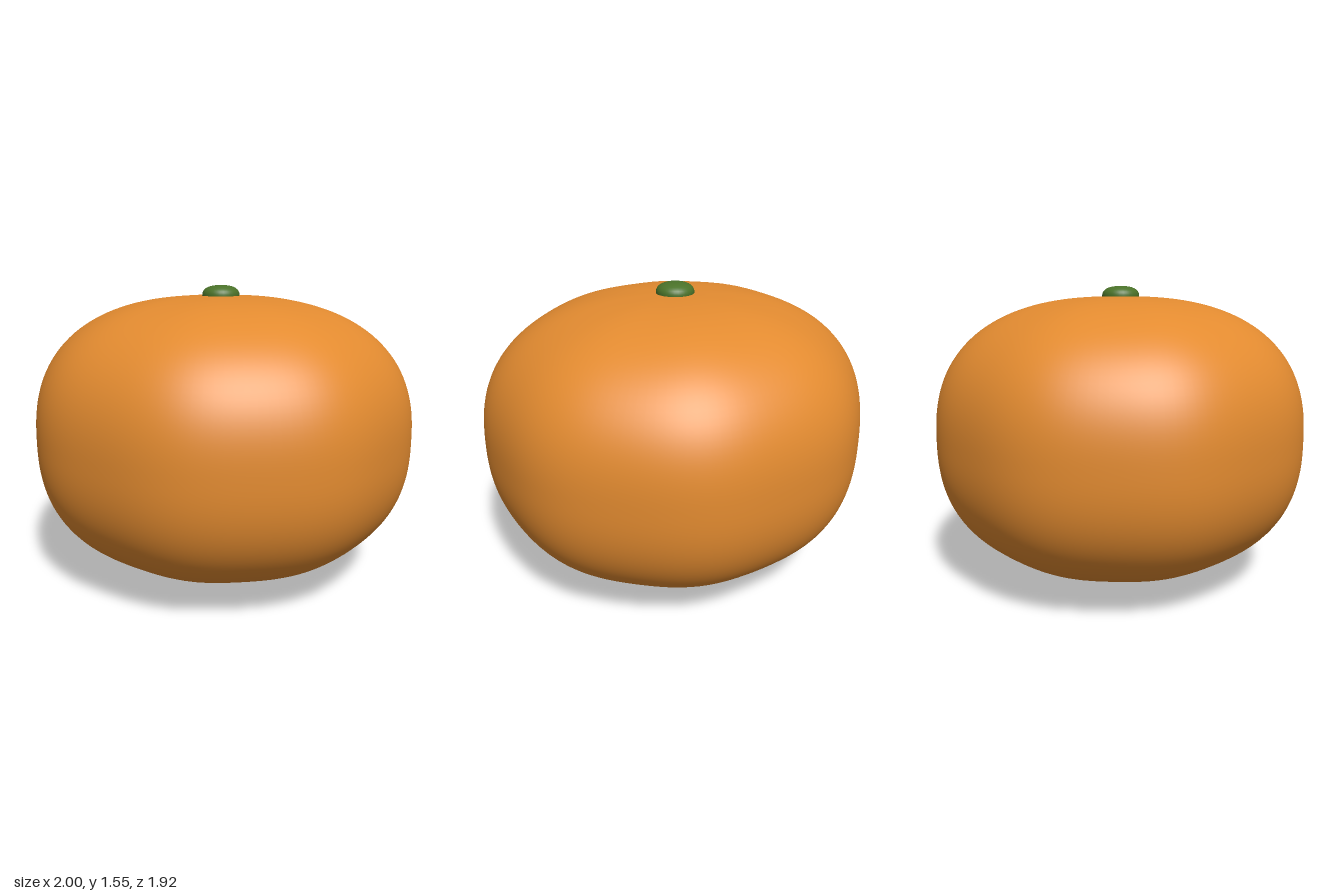
import * as THREE from 'three';
import { mergeVertices } from 'three/addons/utils/BufferGeometryUtils.js';

const CENTRE_Y = 0.773;
const BODY_TOP = 0.72;

// Squashed ball with flattened poles and faint upright lobes around its waist,
// welded so the shading has no seam
function ballGeometry(half, power, lobe, columns, rows) {
  const sphere = new THREE.SphereGeometry(1, columns, rows);
  sphere.deleteAttribute('uv');
  sphere.deleteAttribute('normal');
  const geometry = mergeVertices(sphere, 1e-5);
  const pos = geometry.attributes.position;
  const d = new THREE.Vector3();
  for (let i = 0; i < pos.count; i++) {
    d.fromBufferAttribute(pos, i).normalize();
    const across = Math.hypot(d.x, d.z);
    const radius = (across ** power + Math.abs(d.y) ** power) ** (-1 / power);
    const swell = 1 + lobe * across ** 2 * (1 - Math.cos(8 * Math.atan2(d.z, d.x)));
    d.multiplyScalar(radius * swell).multiply(half);
    pos.setXYZ(i, d.x, d.y, d.z);
  }
  geometry.computeVertexNormals();
  return geometry;
}

export function createModel() {
  const peel = new THREE.MeshStandardMaterial({ color: 0xe38b30 });
  peel.name = 'orange peel';
  const green = new THREE.MeshStandardMaterial({ color: 0x4a7229 });
  green.name = 'stem green';

  const model = new THREE.Group();
  model.name = 'fruit';

  const body = new THREE.Mesh(ballGeometry(new THREE.Vector3(1, BODY_TOP, 0.96), 2.5, 0.008, 128, 80), peel);
  body.name = 'fruitBody';
  body.position.y = CENTRE_Y;
  model.add(body);

  // Small flattened buttons at the top and bottom
  const button = ballGeometry(new THREE.Vector3(0.098, 0.053, 0.098), 2.5, 0, 32, 20);
  for (const [name, side] of [['topStem', 1], ['bottomStem', -1]]) {
    const stem = new THREE.Mesh(button, green);
    stem.name = name;
    stem.position.y = CENTRE_Y + side * BODY_TOP;
    model.add(stem);
  }
  return model;
}
